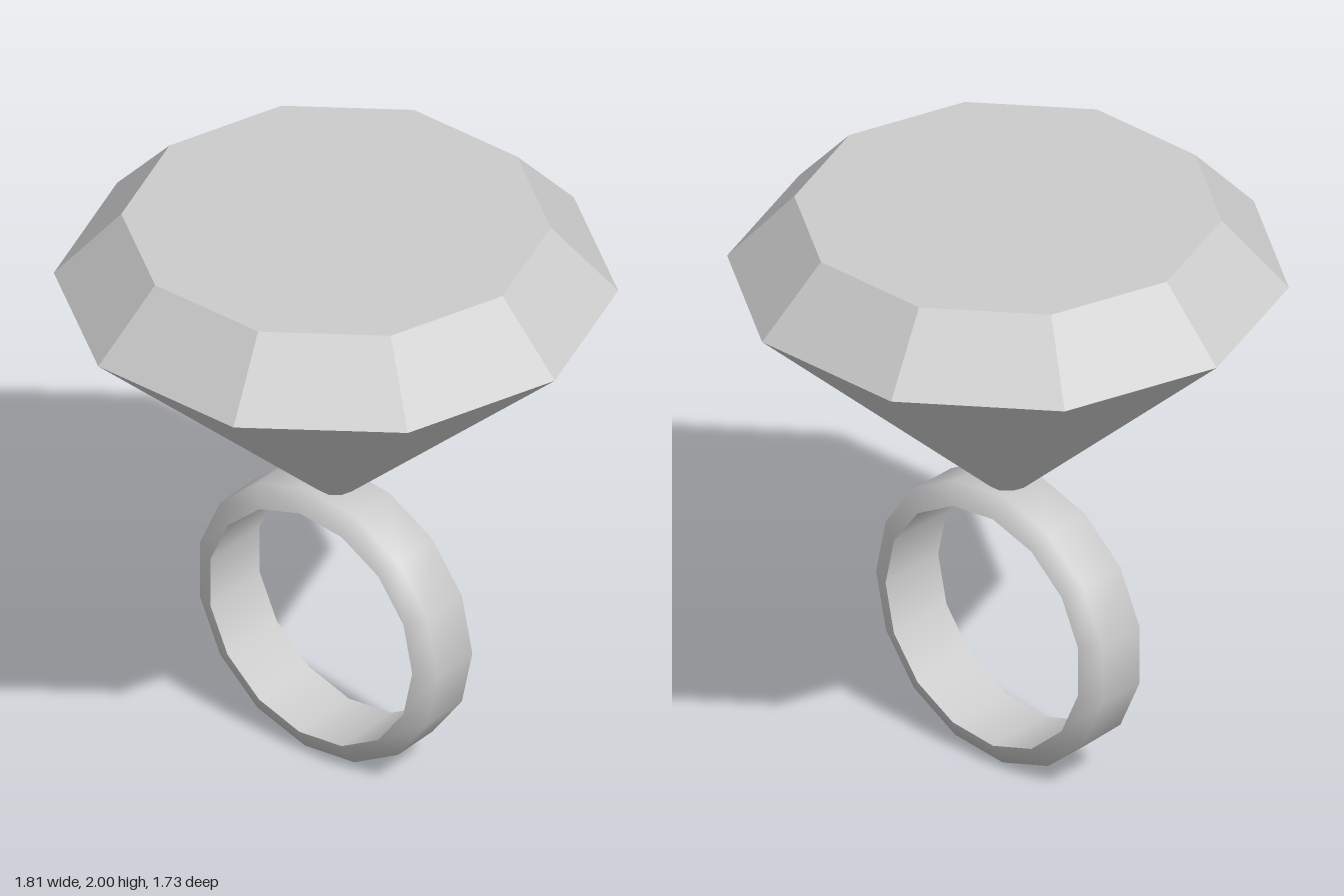
import * as THREE from 'three';

const lathe = (points, sides) =>
  new THREE.LatheGeometry(points.map(([r, y]) => new THREE.Vector2(r, y)), sides, Math.PI / 2);

export function createModel() {
  const model = new THREE.Group();
  const smooth = new THREE.MeshStandardMaterial({ color: 0xcccccc });
  const faceted = new THREE.MeshStandardMaterial({ color: 0xcccccc, flatShading: true });

  // Ten-sided cut gem: culet, pavilion, girdle, crown, table
  const gem = new THREE.Mesh(
    lathe([[0, 0.985], [0.065, 0.985], [0.907, 1.765], [0.69, 2], [0, 2]], 10), faceted);
  gem.name = 'gem';
  model.add(gem);

  // Fifteen-sided band: bevelled smooth outside, sharp edge to the inner wall
  const band = new THREE.Group();
  band.name = 'band';
  const inner = 0.423, outer = 0.498;
  const surfaces = {
    bandOuter: [[inner, -0.125], [outer, -0.088], [outer, 0.088], [inner, 0.125]],
    bandInner: [[inner, 0.125], [inner, -0.125]],
  };
  for (const [name, profile] of Object.entries(surfaces)) {
    const mesh = new THREE.Mesh(lathe(profile, 15), smooth);
    mesh.name = name;
    band.add(mesh);
  }
  band.rotation.x = Math.PI / 2;
  band.position.set(-0.005, 0.496, 0);
  model.add(band);

  return model;
}
